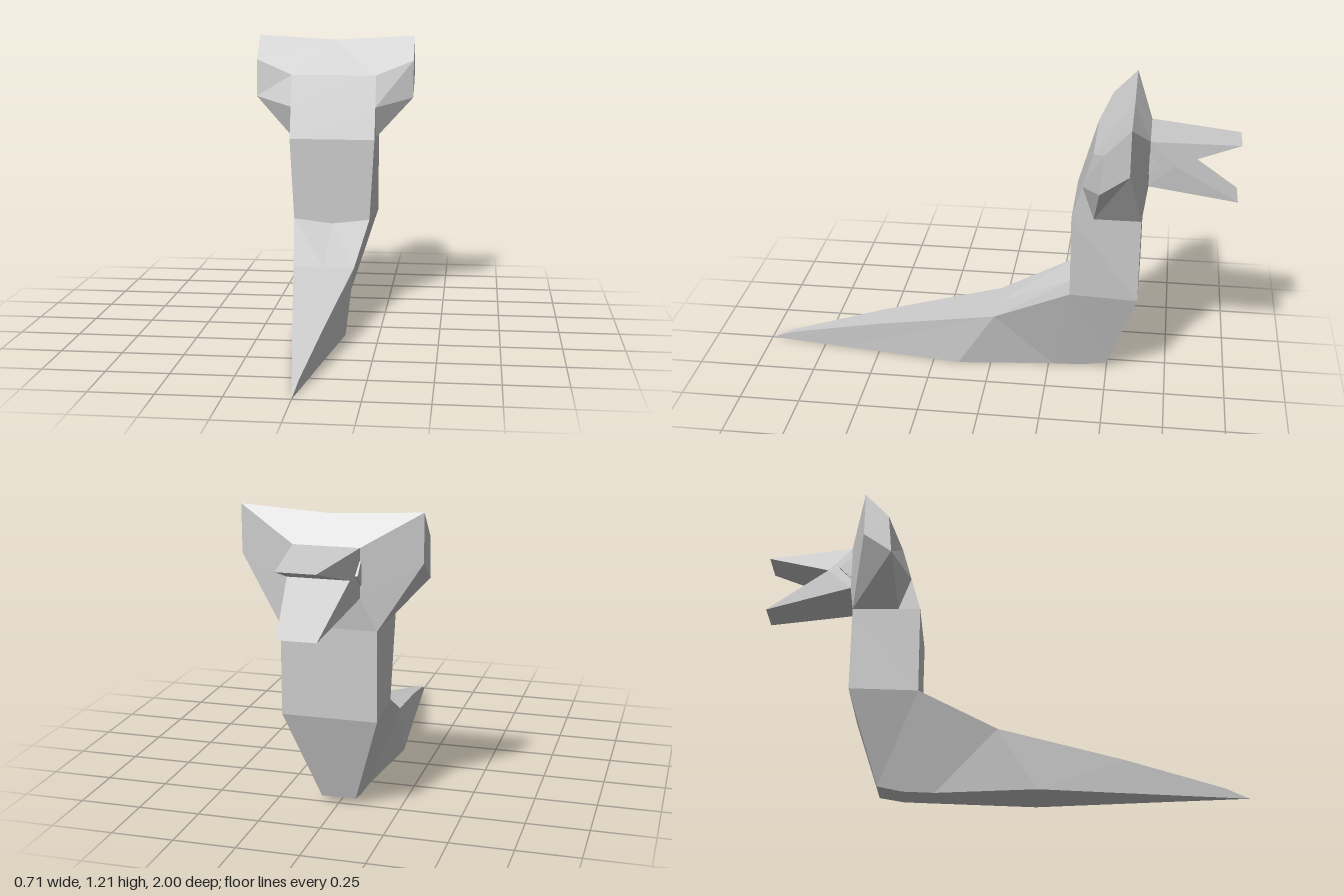
import * as THREE from 'three';

const material = new THREE.MeshStandardMaterial({
  color: 0xcccccc, flatShading: true, side: THREE.DoubleSide,
});

// Flat-shaded mesh from polygons (arrays of Vector3), split into fans.
function polygonMesh(name, polygons) {
  const points = [];
  for (const p of polygons) {
    for (let i = 1; i < p.length - 1; i++) {
      if (new THREE.Triangle(p[0], p[i], p[i + 1]).getArea() > 1e-7) {
        points.push(p[0], p[i], p[i + 1]);
      }
    }
  }
  const geometry = new THREE.BufferGeometry().setFromPoints(points);
  geometry.computeVertexNormals();
  const mesh = new THREE.Mesh(geometry, material);
  mesh.name = name;
  return mesh;
}

// Tail and raised neck: each section has an upper and a lower edge [z, y, half width].
function createBody() {
  const sections = [
    [[1, 0, 0], [1, 0, 0]],
    [[0.9, 0.04, 0.013], [0.93, 0, 0.009]],
    [[0.5, 0.14, 0.065], [0.66, 0, 0.043]],
    [[-0.02, 0.25, 0.13], [0.14, 0, 0.11]],
    [[-0.02, 0.25, 0.13], [-0.27, 0, 0.065]],
    [[-0.34, 0.4, 0.17], [-0.27, 0, 0.065], 0.02],
    [[-0.34, 0.4, 0.17], [-0.4, 0.005, 0.065], 0.02],
    [[-0.34, 0.4, 0.17], [-0.5, 0.025, 0.07], 0.02],
    [[-0.34, 0.4, 0.17], [-0.62, 0.4, 0.19], 0.02],
    [[-0.34, 0.76, 0.19], [-0.62, 0.76, 0.19]],
  ];
  const rings = sections.map(([[tz, ty, tw], [bz, by, bw], dip = 0]) => [
    new THREE.Vector3(tw, ty, tz),
    new THREE.Vector3(0, ty - dip, tz),
    new THREE.Vector3(-tw, ty, tz),
    new THREE.Vector3(-bw, by, bz),
    new THREE.Vector3(0, by, bz),
    new THREE.Vector3(bw, by, bz),
  ]);
  const polygons = [];
  for (let i = 0; i < rings.length - 1; i++) {
    for (let j = 0; j < 6; j++) {
      const k = (j + 1) % 6;
      polygons.push([rings[i][j], rings[i + 1][j], rings[i + 1][k], rings[i][k]]);
    }
  }
  return polygonMesh('body', polygons);
}

// Head parts share these left-side corners; a trailing ' means the mirrored corner.
const corners = {
  neckFront: [0.19, 0.76, -0.34], nape: [0.19, 0.9, -0.38], crown: [0.19, 1.04, -0.42],
  peak: [0.355, 1.21, -0.57], rim: [0.355, 1.105, -0.47], rimLow: [0.355, 0.94, -0.455],
  rimBack: [0.355, 1.02, -0.57], hoodLow: [0.19, 0.76, -0.43], throat: [0.19, 0.76, -0.62],
  brow: [0.13, 1.08, -0.64], chin: [0.13, 0.89, -0.64], mouth: [0.12, 0.98, -0.74],
  upperTip: [0.075, 1.06, -1], lowerTip: [0.075, 0.815, -1], top: [0, 1.19, -0.57],
};

function corner(label, mirrored) {
  const [x, y, z] = corners[label.replace("'", '')];
  return new THREE.Vector3(label.endsWith("'") !== mirrored ? -x : x, y, z);
}

// Faces crossing the middle are used once, side faces are mirrored.
function headPart(name, middle, sides) {
  const build = (face, mirrored) => face.split(' ').map((c) => corner(c, mirrored));
  return polygonMesh(name, [
    ...middle.map((f) => build(f, false)),
    ...sides.map((f) => build(f, false)),
    ...sides.map((f) => build(f, true).reverse()),
  ]);
}

export function createModel() {
  const model = new THREE.Group();
  model.name = 'serpent';
  model.add(createBody());

  model.add(headPart('hood', [
    "neckFront' neckFront nape nape'",
    "nape' nape crown crown'",
    "crown' crown top",
    "brow brow' top",
    "throat throat' chin' chin",
  ], [
    'crown rim peak top',
    'nape rimLow rim crown',
    'nape hoodLow rimLow',
    'neckFront hoodLow nape',
    'hoodLow throat rimBack rimLow',
    'rimLow rimBack peak rim',
    'throat chin rimBack',
    'chin brow rimBack',
    'brow peak rimBack',
    'brow top peak',
    'chin mouth brow',
  ]));

  model.add(headPart('upperJaw',
    ["brow upperTip upperTip' brow'", "mouth mouth' upperTip' upperTip"],
    ['brow mouth upperTip']));

  model.add(headPart('lowerJaw',
    ["mouth lowerTip lowerTip' mouth'", "chin chin' lowerTip' lowerTip"],
    ['chin lowerTip mouth']));

  // Small diamond-shaped eyes
  for (const side of [1, -1]) {
    const eye = new THREE.Mesh(new THREE.BoxGeometry(0.04, 0.065, 0.065), material);
    eye.name = side > 0 ? 'leftEye' : 'rightEye';
    eye.position.set(side * 0.115, 0.985, -0.645);
    eye.rotation.x = Math.PI / 4;
    model.add(eye);
  }
  return model;
}
